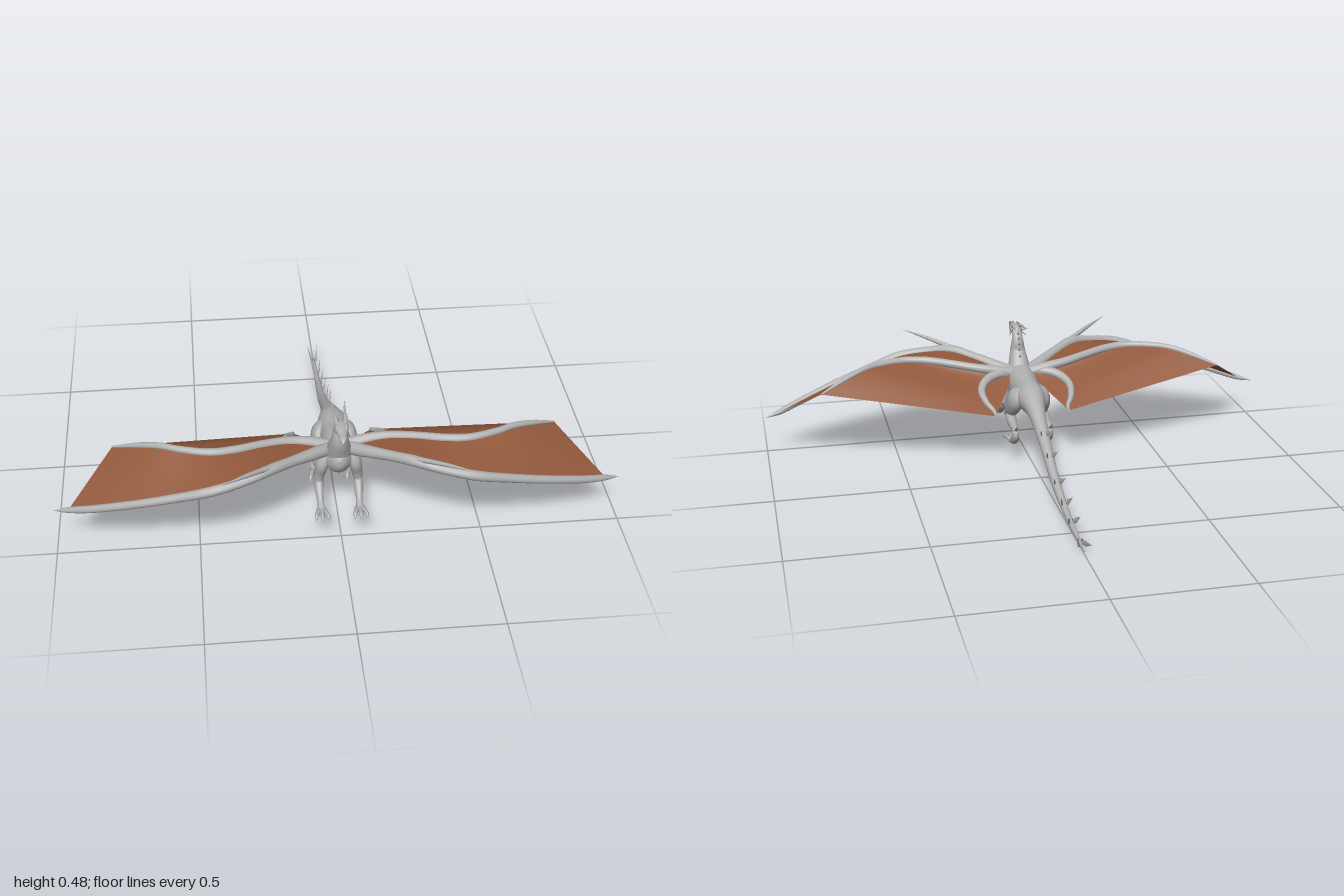
import * as THREE from 'three';

const hide = new THREE.MeshStandardMaterial({ color: 0xb0b0b0 });
hide.name = 'grey hide';
const skin = new THREE.MeshStandardMaterial({ color: 0x92593c, side: THREE.DoubleSide });
skin.name = 'brown membrane';

const X = new THREE.Vector3(1, 0, 0);
const Z = new THREE.Vector3(0, 0, 1);
const path = pts => new THREE.CatmullRomCurve3(
  pts.map(p => new THREE.Vector3(p[0], p[1], p[2])), false, 'catmullrom', 0.5);

function buildSurface(positions, index) {
  const g = new THREE.BufferGeometry();
  g.setAttribute('position', new THREE.Float32BufferAttribute(positions, 3));
  g.setIndex(index);
  g.computeVertexNormals();
  return g;
}

// Smooth tube through points [x, y, z, side radius, up radius]
function limb(pts, { sides = 12, steps = 6, axis = X } = {}) {
  const curve = path(pts);
  const radii = path(pts.map(p => [p[3], p[4] ?? p[3], 0]));
  const rows = (pts.length - 1) * steps;
  const pos = [], idx = [];
  for (let i = 0; i <= rows; i++) {
    const t = i / rows, c = curve.getPoint(t), r = radii.getPoint(t);
    const tan = curve.getTangent(t);
    const up = tan.clone().cross(axis).normalize();
    const side = up.clone().cross(tan);
    for (let j = 0; j < sides; j++) {
      const a = j / sides * Math.PI * 2;
      const v = c.clone()
        .addScaledVector(side, Math.cos(a) * Math.max(r.x, 0.0004))
        .addScaledVector(up, Math.sin(a) * Math.max(r.y, 0.0004));
      pos.push(v.x, v.y, v.z);
      if (i === rows) continue;
      const k = (j + 1) % sides, p = i * sides, q = p + sides;
      idx.push(p + j, p + k, q + k, p + j, q + k, q + j);
    }
  }
  // End caps
  const first = curve.getPoint(0), last = curve.getPoint(1), n = pos.length / 3;
  pos.push(first.x, first.y, first.z, last.x, last.y, last.z);
  for (let j = 0; j < sides; j++) {
    const k = (j + 1) % sides, q = rows * sides;
    idx.push(n, k, j, n + 1, q + j, q + k);
  }
  return buildSurface(pos, idx);
}

// Ruled sheet stretched between two curves
function sheet(a, b, endA = 1, endB = 1, nu = 30, nv = 6) {
  const pos = [], idx = [];
  for (let i = 0; i <= nu; i++) {
    const p = a.getPoint(i / nu * endA), q = b.getPoint(i / nu * endB);
    for (let j = 0; j <= nv; j++) {
      const v = p.clone().lerp(q, j / nv);
      pos.push(v.x, v.y, v.z);
      if (i === nu || j === nv) continue;
      const k = i * (nv + 1) + j, m = k + nv + 1;
      idx.push(k, m, m + 1, k, m + 1, k + 1);
    }
  }
  return buildSurface(pos, idx);
}

export function createModel() {
  const model = new THREE.Group();
  model.name = 'dragon';
  const add = (parent, name, geometry, material = hide) => {
    const m = new THREE.Mesh(geometry, material);
    m.name = name;
    parent.add(m);
  };
  const spike = (parent, name, from, to, rs, ru = rs) =>
    add(parent, name, limb([[...from, rs, ru], [...to, 0.0005]], { sides: 8, steps: 2 }));

  // Torso and tail
  add(model, 'torsoAndTail', limb([
    [0, 0.012, -0.67, 0.002], [0, 0.017, -0.58, 0.007, 0.008], [0, 0.032, -0.45, 0.011, 0.012],
    [0, 0.06, -0.32, 0.015, 0.016], [0, 0.101, -0.2, 0.018, 0.02], [0, 0.153, -0.1, 0.021, 0.021],
    [0, 0.202, 0, 0.026, 0.025], [0, 0.242, 0.09, 0.036, 0.036], [0, 0.258, 0.17, 0.054, 0.056],
    [0, 0.26, 0.25, 0.052, 0.061], [0, 0.264, 0.33, 0.058, 0.066], [0, 0.272, 0.39, 0.052, 0.062],
    [0, 0.285, 0.435, 0.024, 0.03], [0, 0.288, 0.447, 0.001],
  ], { sides: 20 }));

  // Neck
  add(model, 'neck', limb([
    [0, 0.265, 0.375, 0.05, 0.05], [0, 0.32, 0.402, 0.042, 0.042], [0, 0.37, 0.425, 0.031, 0.033],
    [0, 0.41, 0.425, 0.024, 0.025], [0, 0.437, 0.437, 0.02, 0.02], [0, 0.45, 0.462, 0.018, 0.017],
  ], { sides: 16 }));

  // Head: skull with snout, and lower jaw
  const head = new THREE.Group();
  head.name = 'head';
  model.add(head);
  add(head, 'skull', limb([
    [0, 0.445, 0.425, 0.004], [0, 0.45, 0.447, 0.022, 0.017], [0, 0.453, 0.477, 0.024, 0.016],
    [0, 0.451, 0.507, 0.016, 0.011], [0, 0.449, 0.537, 0.012, 0.009], [0, 0.446, 0.553, 0.002],
  ], { sides: 14 }));
  add(head, 'lowerJaw', limb([
    [0, 0.438, 0.45, 0.015, 0.007], [0, 0.435, 0.49, 0.013, 0.006],
    [0, 0.433, 0.525, 0.009, 0.005], [0, 0.434, 0.543, 0.002],
  ], { sides: 10 }));
  for (const s of [1, -1]) {
    add(head, 'horn', limb([
      [s * 0.012, 0.458, 0.465, 0.007], [s * 0.017, 0.472, 0.43, 0.0055],
      [s * 0.02, 0.476, 0.39, 0.0035], [s * 0.024, 0.482, 0.35, 0.0005],
    ], { sides: 8 }));
    spike(head, 'cheekSpike', [s * 0.018, 0.442, 0.46], [s * 0.034, 0.436, 0.418], 0.006);
    spike(head, 'crownSpike', [s * 0.017, 0.452, 0.45], [s * 0.03, 0.461, 0.405], 0.006);
    spike(head, 'browRidge', [s * 0.014, 0.463, 0.497], [s * 0.02, 0.472, 0.46], 0.006);
    spike(head, 'nostrilBump', [s * 0.006, 0.454, 0.543], [s * 0.007, 0.461, 0.528], 0.005);
  }

  // Neck crest
  for (const [y, z] of [[0.442, 0.425], [0.425, 0.411], [0.405, 0.404], [0.383, 0.4], [0.36, 0.388]])
    spike(model, 'neckSpike', [0, y, z], [0, y + 0.011, z - 0.032], 0.004, 0.01);

  // Paired tail blades [base y, base z, tip y, tip z]
  const blades = [[0.194, -0.04, 0.222, -0.088], [0.143, -0.14, 0.18, -0.19], [0.087, -0.255, 0.126, -0.312],
    [0.053, -0.37, 0.1, -0.42], [0.033, -0.482, 0.076, -0.533], [0.016, -0.61, 0.042, -0.69]];
  for (const s of [1, -1]) for (const [y, z, ty, tz] of blades)
    spike(model, 'tailBlade', [s * 0.007, y, z], [s * 0.02, ty, tz], 0.004, 0.016);

  // Toes with claws, spread from the front of a foot
  function toes(parent, x, y, z, length) {
    for (const k of [-1, 0, 1]) {
      const l = length * (k ? 0.88 : 1);
      add(parent, 'toe', limb([
        [x + k * 0.009, y, z, 0.009], [x + k * 0.017, y + 0.002, z + l * 0.5, 0.008],
        [x + k * 0.021, y - 0.001, z + l * 0.75, 0.0065], [x + k * 0.023, y - 0.011, z + l, 0.0005],
      ], { sides: 8, steps: 4 }));
    }
    spike(parent, 'dewClaw', [x - Math.sign(x) * 0.012, y, z], [x - Math.sign(x) * 0.025, y - 0.01, z + 0.018], 0.006);
  }

  for (const s of [1, -1]) {
    // Front leg
    const front = new THREE.Group();
    front.name = 'frontLeg';
    model.add(front);
    add(front, 'arm', limb([
      [s * 0.045, 0.285, 0.385, 0.018, 0.022], [s * 0.058, 0.245, 0.388, 0.024, 0.031],
      [s * 0.066, 0.2, 0.382, 0.02, 0.024], [s * 0.07, 0.165, 0.385, 0.017, 0.019],
      [s * 0.07, 0.14, 0.415, 0.015, 0.015], [s * 0.069, 0.116, 0.447, 0.011, 0.012],
      [s * 0.068, 0.106, 0.473, 0.015, 0.01], [s * 0.068, 0.103, 0.488, 0.012, 0.007],
    ]));
    spike(front, 'elbowSpike', [s * 0.071, 0.162, 0.38], [s * 0.078, 0.185, 0.343], 0.008);
    toes(front, s * 0.068, 0.105, 0.475, 0.06);

    // Hind leg
    const hind = new THREE.Group();
    hind.name = 'hindLeg';
    model.add(hind);
    add(hind, 'thigh', limb([
      [s * 0.035, 0.285, 0.185, 0.012, 0.025], [s * 0.05, 0.255, 0.205, 0.029, 0.046],
      [s * 0.057, 0.215, 0.24, 0.029, 0.044], [s * 0.063, 0.18, 0.27, 0.022, 0.03],
      [s * 0.066, 0.16, 0.275, 0.016, 0.02], [s * 0.066, 0.15, 0.262, 0.006],
    ], { sides: 14 }));
    add(hind, 'shin', limb([
      [s * 0.065, 0.172, 0.284, 0.012], [s * 0.066, 0.161, 0.25, 0.02, 0.021],
      [s * 0.067, 0.148, 0.2, 0.017, 0.018], [s * 0.067, 0.142, 0.155, 0.013, 0.014],
      [s * 0.067, 0.12, 0.148, 0.014, 0.017], [s * 0.067, 0.094, 0.172, 0.016, 0.016],
      [s * 0.067, 0.082, 0.205, 0.018, 0.011], [s * 0.067, 0.08, 0.228, 0.012, 0.007],
    ]));
    spike(hind, 'heelSpike', [s * 0.067, 0.14, 0.145], [s * 0.069, 0.172, 0.11], 0.01);
    toes(hind, s * 0.067, 0.081, 0.212, 0.07);

    // Wing
    const wing = new THREE.Group();
    wing.name = s > 0 ? 'leftWing' : 'rightWing';
    model.add(wing);
    const armPts = [
      [s * 0.02, 0.295, 0.365, 0.025], [s * 0.09, 0.315, 0.425, 0.023], [s * 0.17, 0.337, 0.49, 0.019],
      [s * 0.25, 0.352, 0.55, 0.02], [s * 0.34, 0.341, 0.59, 0.017], [s * 0.45, 0.322, 0.61, 0.018],
      [s * 0.56, 0.29, 0.592, 0.016], [s * 0.7, 0.248, 0.56, 0.015], [s * 0.85, 0.2, 0.512, 0.014],
      [s * 0.94, 0.172, 0.475, 0.011], [s * 0.998, 0.158, 0.455, 0.001],
    ];
    const fingerPts = [
      [s * 0.02, 0.298, 0.36, 0.022], [s * 0.1, 0.318, 0.358, 0.02], [s * 0.18, 0.332, 0.366, 0.017],
      [s * 0.27, 0.345, 0.395, 0.016], [s * 0.36, 0.354, 0.428, 0.016], [s * 0.45, 0.358, 0.44, 0.015],
      [s * 0.55, 0.358, 0.413, 0.013], [s * 0.62, 0.353, 0.378, 0.012],
      [s * 0.7, 0.33, 0.336, 0.01], [s * 0.79, 0.296, 0.29, 0.003],
    ];
    const innerLine = path([[s * 0.03, 0.297, 0.35], [s * 0.145, 0.206, 0.15]]);
    add(wing, 'wingArm', limb(armPts, { axis: Z }));
    add(wing, 'wingFinger', limb(fingerPts, { axis: Z }));
    add(wing, 'innerFinger', limb([
      [s * 0.03, 0.3, 0.365, 0.022], [s * 0.09, 0.305, 0.352, 0.02], [s * 0.145, 0.293, 0.322, 0.018],
      [s * 0.175, 0.27, 0.272, 0.015], [s * 0.168, 0.242, 0.215, 0.012],
      [s * 0.145, 0.218, 0.17, 0.008], [s * 0.145, 0.204, 0.136, 0.001],
    ], { axis: new THREE.Vector3(0, 1, 0) }));
    add(wing, 'thumbClaw', limb([
      [s * 0.215, 0.35, 0.53, 0.014], [s * 0.26, 0.366, 0.56, 0.01],
      [s * 0.34, 0.388, 0.625, 0.007], [s * 0.42, 0.405, 0.69, 0.0005],
    ], { axis: new THREE.Vector3(0, 1, 0), sides: 8 }));
    add(wing, 'outerMembrane', sheet(path(armPts), path(fingerPts), 0.91, 1), skin);
    add(wing, 'innerMembrane', sheet(path(fingerPts), innerLine), skin);
  }
  return model;
}
